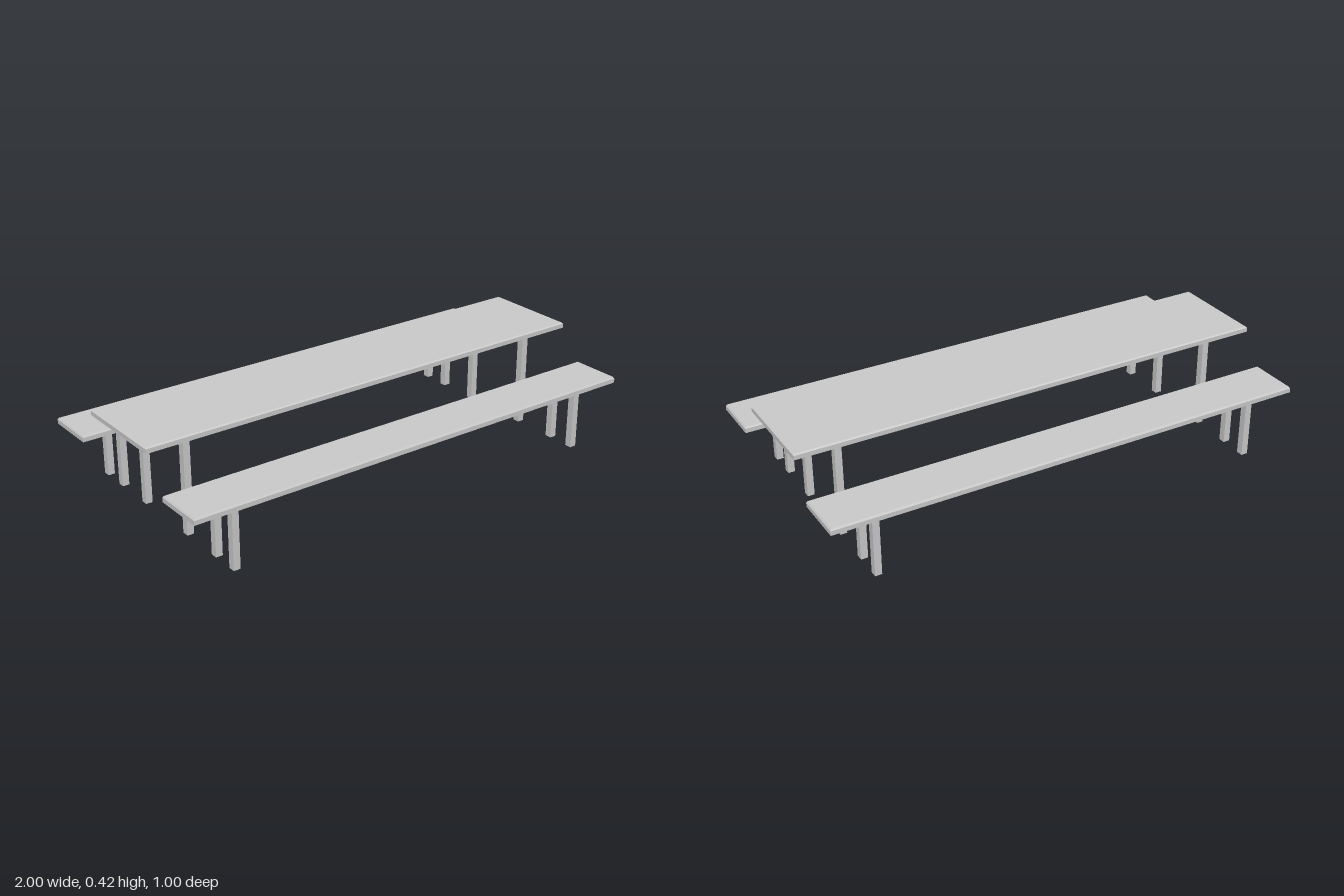
import * as THREE from 'three';

const material = new THREE.MeshStandardMaterial({ color: 0xcccccc, flatShading: true, side: THREE.DoubleSide });

// Board: thin skirt, chamfered upper edge and flat top, open underneath
function board(name, z0, z1, bottom, shoulder, top) {
  const ring = (y, inset) => [
    [-1 + inset, y, z1 - inset], [1 - inset, y, z1 - inset],
    [1 - inset, y, z0 + inset], [-1 + inset, y, z0 + inset],
  ];
  const rings = [ring(bottom, 0), ring(shoulder, 0), ring(top, 0.005)];
  const points = [];
  const quad = (a, b, c, d) => points.push(...a, ...b, ...c, ...a, ...c, ...d);
  for (let r = 0; r < 2; r++) {
    for (let i = 0; i < 4; i++) {
      const j = (i + 1) % 4;
      quad(rings[r][i], rings[r][j], rings[r + 1][j], rings[r + 1][i]);
    }
  }
  quad(...rings[2]);
  const geometry = new THREE.BufferGeometry();
  geometry.setAttribute('position', new THREE.Float32BufferAttribute(points, 3));
  geometry.computeVertexNormals();
  const mesh = new THREE.Mesh(geometry, material);
  mesh.name = name;
  return mesh;
}

// Board on two pairs of square legs
function stand(name, boardName, z0, z1, heights, legZ) {
  const group = new THREE.Group();
  group.name = name;
  group.add(board(boardName, z0, z1, ...heights));
  const height = heights[1];
  for (const x of [-0.819, 0.818]) {
    for (const z of legZ) {
      const leg = new THREE.Mesh(new THREE.BoxGeometry(0.028, height, 0.029), material);
      leg.name = 'leg';
      leg.position.set(x, height / 2, z);
      group.add(leg);
    }
  }
  return group;
}

export function createModel() {
  const model = new THREE.Group();
  model.name = 'picnicTableWithBenches';
  const benchHeights = [0.25, 0.268, 0.275];
  model.add(
    stand('table', 'tableTop', -0.207, 0.193, [0.394, 0.412, 0.417], [-0.158, 0.144]),
    stand('frontBench', 'seat', 0.292, 0.501, benchHeights, [0.339, 0.455]),
    stand('backBench', 'seat', -0.501, -0.293, benchHeights, [-0.339, -0.456]),
  );
  return model;
}
